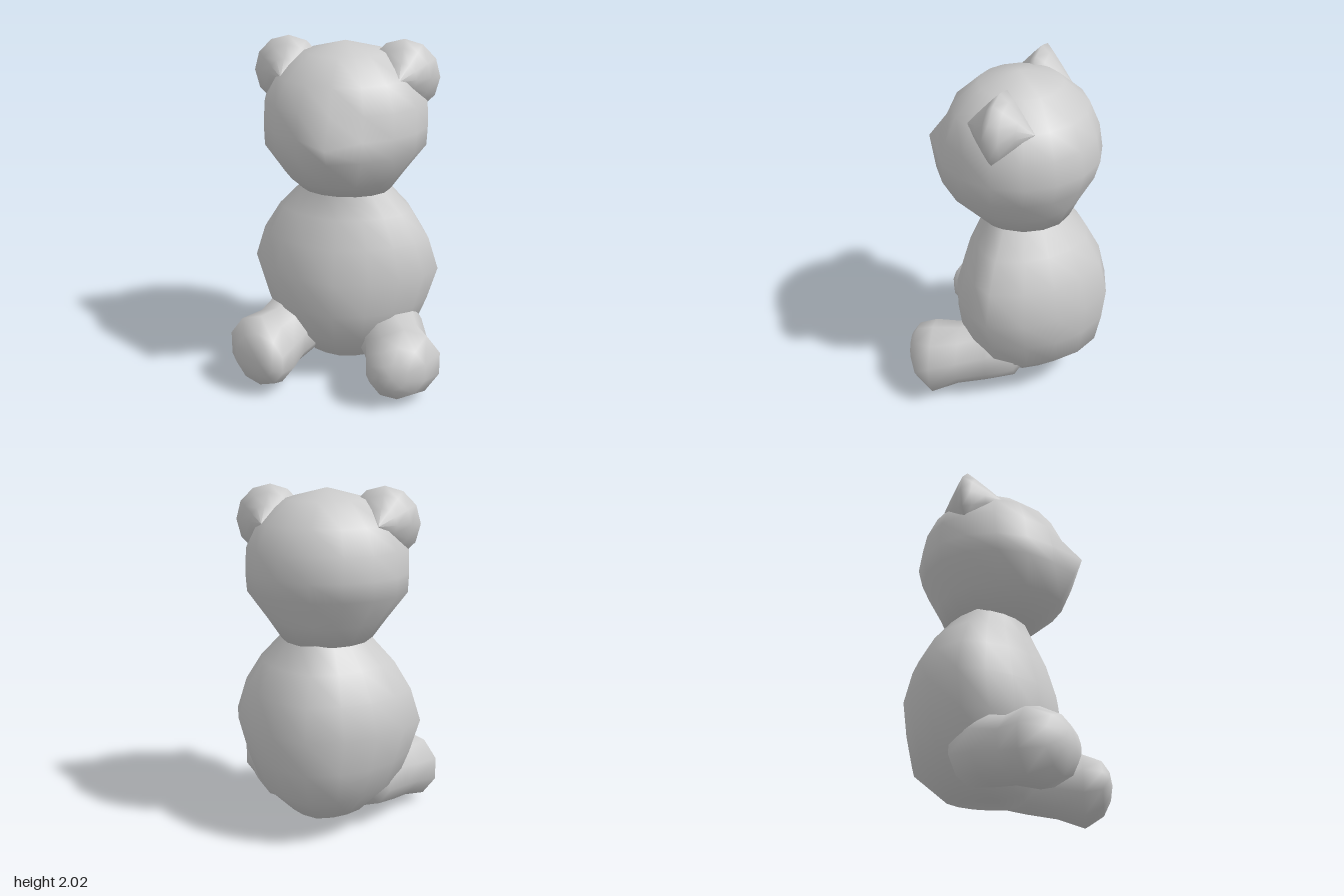
import * as THREE from 'three';
import { mergeVertices } from 'three/addons/utils/BufferGeometryUtils.js';

const material = new THREE.MeshStandardMaterial({ color: 0xcccccc });

// Smooth skin over closed rings of equal point count (zero-size end rings close it)
function loft(rings) {
  const n = rings[0].length;
  const index = [];
  for (let i = 0; i < rings.length - 1; i++) {
    for (let j = 0; j < n; j++) {
      const a = i * n + j, b = i * n + (j + 1) % n;
      index.push(a, b, a + n, b, b + n, a + n);
    }
  }
  let geometry = new THREE.BufferGeometry().setFromPoints(rings.flat());
  geometry.setIndex(index);
  geometry = mergeVertices(geometry, 1e-5);
  geometry.computeVertexNormals();
  return geometry;
}

// Horizontal section: height, half width, front z, back z; widest at z = -0.02
function section([y, width, front, back], pinch, sides = 16) {
  const mid = -0.02;
  return Array.from({ length: sides }, (_, i) => {
    const t = -i / sides * Math.PI * 2;
    const s = Math.sin(t), c = Math.cos(t);
    const k = 1 - pinch * Math.abs(Math.sin(2 * t));
    return new THREE.Vector3(width * c * k, y, mid + s * k * (s > 0 ? front - mid : mid - back));
  });
}

function mesh(name, geometry) {
  const m = new THREE.Mesh(geometry, material);
  m.name = name;
  return m;
}

function makeBody() {
  const profile = [
    [0.08, 0, -0.02, -0.02],
    [0.09, 0.25, 0.15, -0.3],
    [0.27, 0.43, 0.31, -0.51],
    [0.45, 0.5, 0.365, -0.545],
    [0.65, 0.56, 0.355, -0.565],
    [0.84, 0.5, 0.3, -0.52],
    [1.0, 0.4, 0.23, -0.43],
    [1.13, 0.275, 0.175, -0.325],
    [1.18, 0.26, 0.19, -0.31],
    [1.25, 0, -0.02, -0.02],
  ];
  return mesh('body', loft(profile.map(p => section(p, 0.07))));
}

function makeHead() {
  const profile = [
    [1.08, 0, -0.02, -0.02],
    [1.13, 0.265, 0.185, -0.315],
    [1.25, 0.35, 0.4, -0.37],
    [1.41, 0.47, 0.46, -0.455],
    [1.52, 0.475, 0.45, -0.485],
    [1.66, 0.47, 0.42, -0.46],
    [1.8, 0.4, 0.355, -0.4],
    [1.93, 0.24, 0.21, -0.26],
    [1.99, 0, -0.02, -0.02],
  ];
  const rings = profile.map(p => section(p, 0.01));
  // Pull the front centre out into a pointed muzzle
  rings[4][12].set(0, 1.5, 0.54);
  rings[3][12].z = 0.49;
  return mesh('head', loft(rings));
}

// Ear: round disc, thick in the middle and tapering to a thin rim
function makeEar(side) {
  const profile = [[0, -0.19], [0.09, -0.11], [0.16, -0.045], [0.205, 0], [0.16, 0.045], [0.09, 0.11], [0, 0.19]]
    .map(([r, h]) => new THREE.Vector2(r, h));
  const ear = mesh(side > 0 ? 'leftEar' : 'rightEar', new THREE.LatheGeometry(profile, 12));
  ear.rotation.x = Math.PI / 2;
  ear.position.set(side * 0.33, 1.8, -0.03);
  return ear;
}

// Leg: stubby tube running forward and outward into a rounded foot
function makeLeg(side) {
  const stations = [ // centre x, y, z, radius
    [0.2, 0.29, -0.2, 0],
    [0.23, 0.29, -0.08, 0.19],
    [0.29, 0.27, 0.08, 0.205],
    [0.36, 0.23, 0.24, 0.19],
    [0.42, 0.21, 0.385, 0.222],
    [0.405, 0.21, 0.5, 0.165],
    [0.385, 0.21, 0.55, 0.085],
    [0.38, 0.21, 0.565, 0],
  ];
  const sides = 10, yaw = 0.25;
  const rings = stations.map(([x, y, z, r]) => Array.from({ length: sides }, (_, i) => {
    const t = side * i / sides * Math.PI * 2 - Math.PI / 2;
    const across = r * Math.cos(t);
    return new THREE.Vector3(
      side * (x + across * Math.cos(yaw)),
      y + r * Math.sin(t),
      z - across * Math.sin(yaw));
  }));
  // Mirrored points keep the same winding because the turn direction flips too
  return mesh(side > 0 ? 'leftLeg' : 'rightLeg', loft(rings));
}

export function createModel() {
  const group = new THREE.Group();
  group.name = 'sittingBear';
  group.add(makeBody(), makeHead());
  for (const side of [1, -1]) group.add(makeEar(side), makeLeg(side));
  return group;
}
